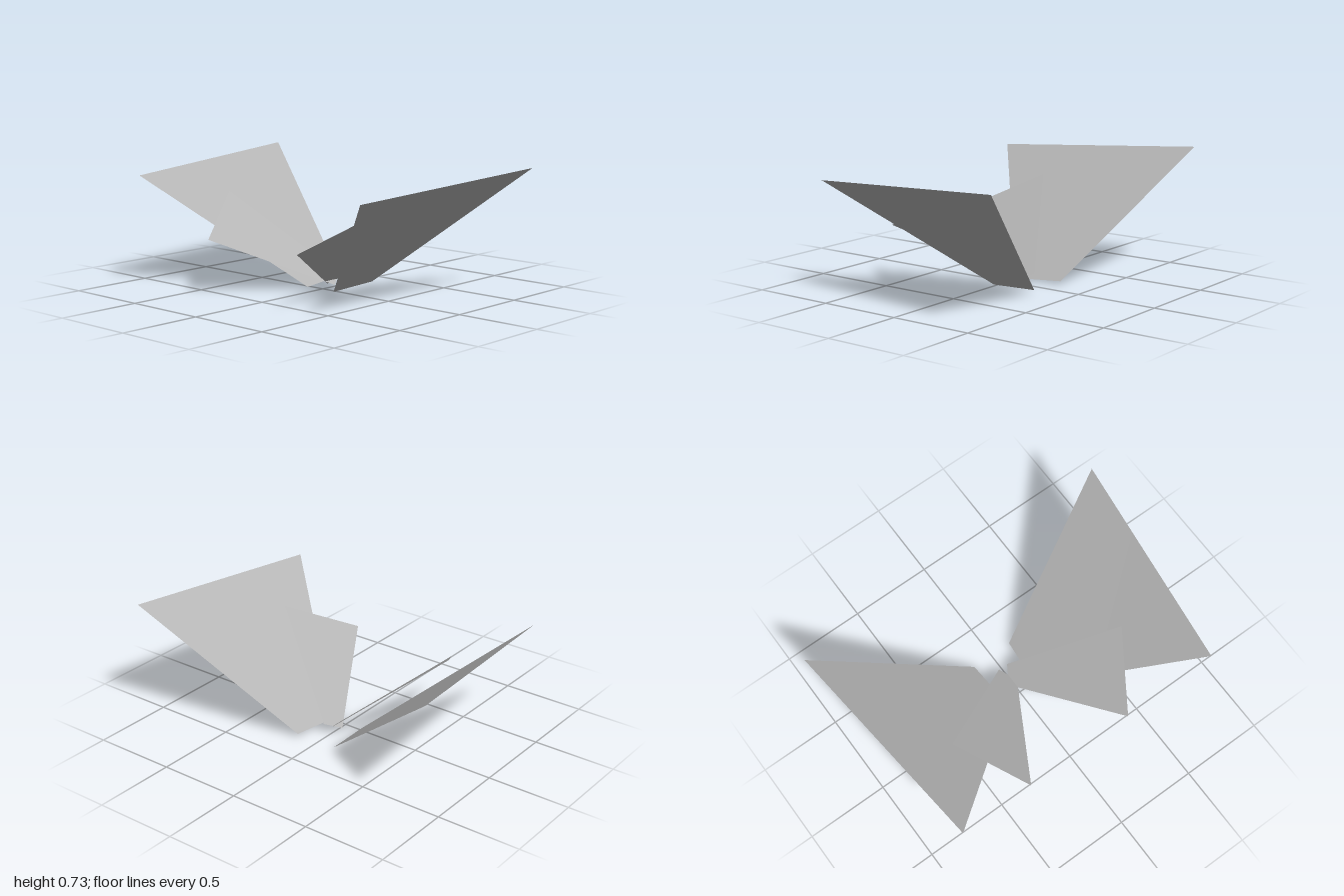
import * as THREE from 'three';

// Outlines of the left-hand (+x) wings, corner by corner, facing up.
const WINGS = {
  largeWing: [[1, 0.737, -0.652], [0.13, 0.022, -0.287], [0.103, 0.003, 0.02], [0.856, 0.655, 0.648]],
  smallWing: [[0.595, 0.54, 0.175], [0.03, 0.07, -0.17], [-0.03, 0.02, -0.071], [0.347, 0.326, 0.58]],
};

// Flat four-cornered sheet; side -1 mirrors it and keeps its top face up.
function sheet(corners, side) {
  const geometry = new THREE.BufferGeometry();
  const points = corners.flatMap(([x, y, z]) => [x * side, y, z]);
  geometry.setAttribute('position', new THREE.Float32BufferAttribute(points, 3));
  geometry.setIndex(side > 0 ? [0, 1, 2, 0, 2, 3] : [0, 2, 1, 0, 3, 2]);
  geometry.computeVertexNormals();
  return geometry;
}

export function createModel() {
  const model = new THREE.Group();
  model.name = 'butterfly';
  const grey = new THREE.MeshStandardMaterial({ color: 0xb4b4b4, side: THREE.DoubleSide });
  grey.name = 'wing grey';

  // Large rear wing and small front wing on each side
  for (const side of [1, -1]) {
    const pair = new THREE.Group();
    pair.name = side > 0 ? 'leftWings' : 'rightWings';
    for (const [name, corners] of Object.entries(WINGS)) {
      const wing = new THREE.Mesh(sheet(corners, side), grey);
      wing.name = name;
      pair.add(wing);
    }
    model.add(pair);
  }
  return model;
}
